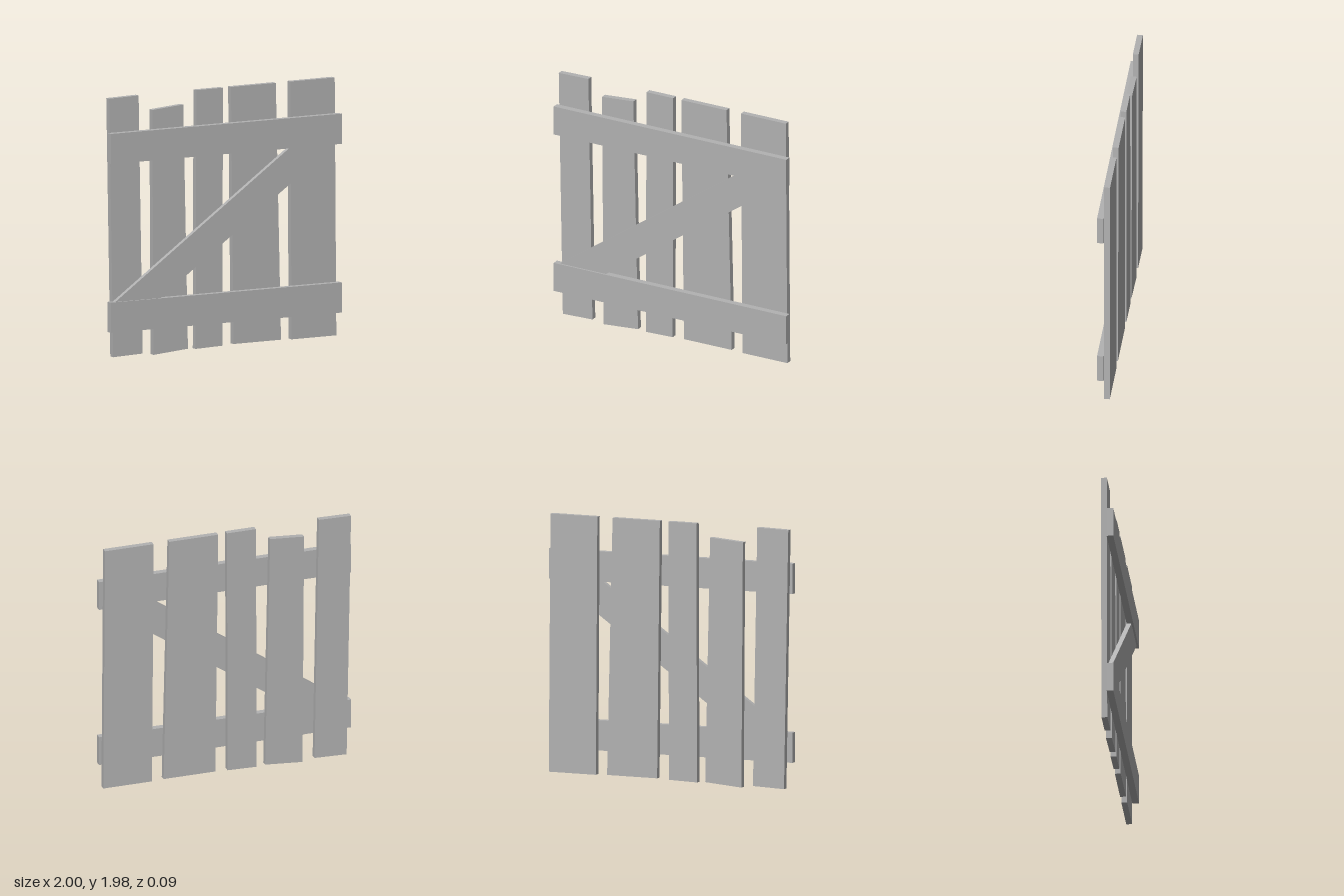
import * as THREE from 'three';

// Flat board: four front-view corners, counter-clockwise, extruded from zBack to zFront
function board(name, corners, zBack, zFront, material) {
  const shape = new THREE.Shape(corners.map(([x, y]) => new THREE.Vector2(x, y)));
  const geometry = new THREE.ExtrudeGeometry(shape, { depth: zFront - zBack, bevelEnabled: false });
  geometry.translate(0, 0, zBack);
  const mesh = new THREE.Mesh(geometry, material);
  mesh.name = name;
  return mesh;
}

export function createModel() {
  const model = new THREE.Group();
  model.name = 'plankGate';
  const wood = new THREE.MeshStandardMaterial({ color: 0xb2b2b2 });
  wood.name = 'greyWood';

  const back = -0.047, joint = -0.003, front = 0.047;

  // Uneven upright planks
  const planks = [
    [[-0.95, 0.01], [-0.695, 0.018], [-0.73, 1.98], [-0.985, 1.975]],
    [[-0.6, 0], [-0.303, 0.023], [-0.343, 1.88], [-0.612, 1.86]],
    [[-0.236, 0.016], [-0.005, 0.022], [0, 1.98], [-0.23, 1.98]],
    [[0.092, 0.027], [0.503, 0.027], [0.458, 1.98], [0.07, 1.98]],
    [[0.595, 0.022], [0.982, 0.022], [0.968, 1.98], [0.583, 1.98]],
  ];
  planks.forEach((corners, i) => model.add(board(`plank${i + 1}`, corners, back, joint, wood)));

  // Cross rails, tilting slightly down to the right
  for (const [name, y] of [['lowerRail', 0.206], ['upperRail', 1.487]]) {
    const corners = [[-1, y], [1, y - 0.006], [1, y + 0.223], [-1, y + 0.229]];
    model.add(board(name, corners, joint, front, wood));
  }

  // Diagonal brace, thinner than the rails
  const brace = [[-0.56, 0.433], [0.955, 1.483], [0.555, 1.483], [-0.955, 0.433]];
  model.add(board('diagonalBrace', brace, joint, 0.033, wood));

  return model;
}
